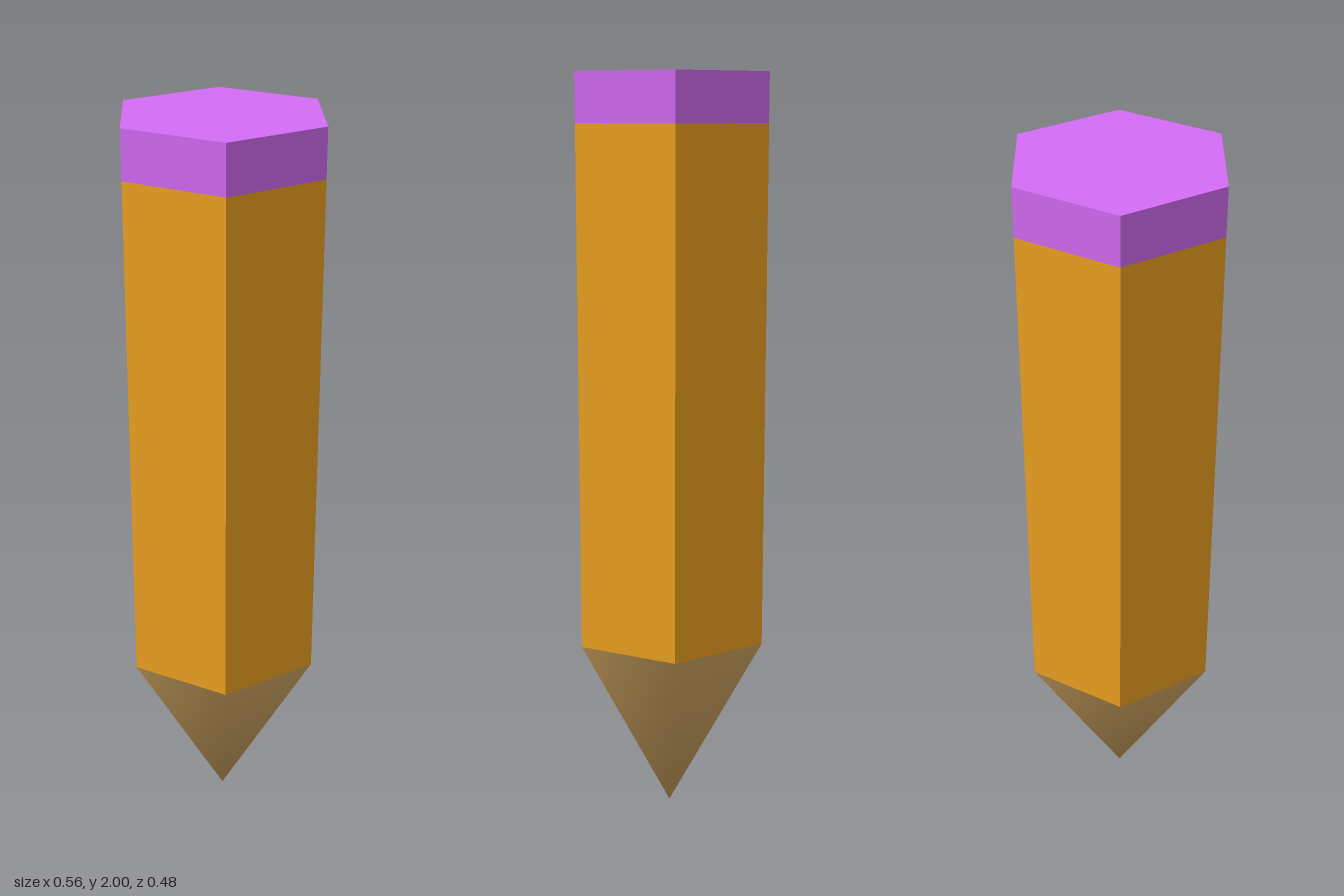
import * as THREE from 'three';
import { mergeVertices } from 'three/addons/utils/BufferGeometryUtils.js';

const RADIUS = 0.278;
const SIDES = 6;
const TIP_TOP = 0.51;
const BODY_TOP = 1.875;
const TOP = 2;

// Open hexagonal band with corners on the x axis
function hexBand(name, y0, y1, color) {
  const geometry = new THREE.CylinderGeometry(RADIUS, RADIUS, y1 - y0, SIDES, 1, true, Math.PI / 2);
  const material = new THREE.MeshStandardMaterial({ color, flatShading: true, side: THREE.DoubleSide });
  const mesh = new THREE.Mesh(geometry, material);
  mesh.name = name;
  mesh.position.y = (y0 + y1) / 2;
  return mesh;
}

export function createModel() {
  const model = new THREE.Group();
  model.name = 'pencil';

  // Painted shaft and eraser band
  model.add(hexBand('shaft', TIP_TOP, BODY_TOP, 0xf0a422));
  const eraser = hexBand('eraserSides', BODY_TOP, TOP, 0xd56cf8);
  model.add(eraser);

  // Flat eraser top
  const cap = new THREE.Mesh(new THREE.CircleGeometry(RADIUS, SIDES).rotateX(-Math.PI / 2), eraser.material);
  cap.name = 'eraserTop';
  cap.position.y = TOP;
  model.add(cap);

  // Sharpened wooden point, smooth-shaded with one shared apex
  let point = new THREE.CylinderGeometry(RADIUS, 0, TIP_TOP, SIDES, 1, true, Math.PI / 2);
  point.deleteAttribute('normal');
  point.deleteAttribute('uv');
  point = mergeVertices(point);
  point.computeVertexNormals();
  const tip = new THREE.Mesh(point, new THREE.MeshStandardMaterial({ color: 0xd8ac64, side: THREE.DoubleSide }));
  tip.name = 'sharpenedPoint';
  tip.position.y = TIP_TOP / 2;
  model.add(tip);

  return model;
}
